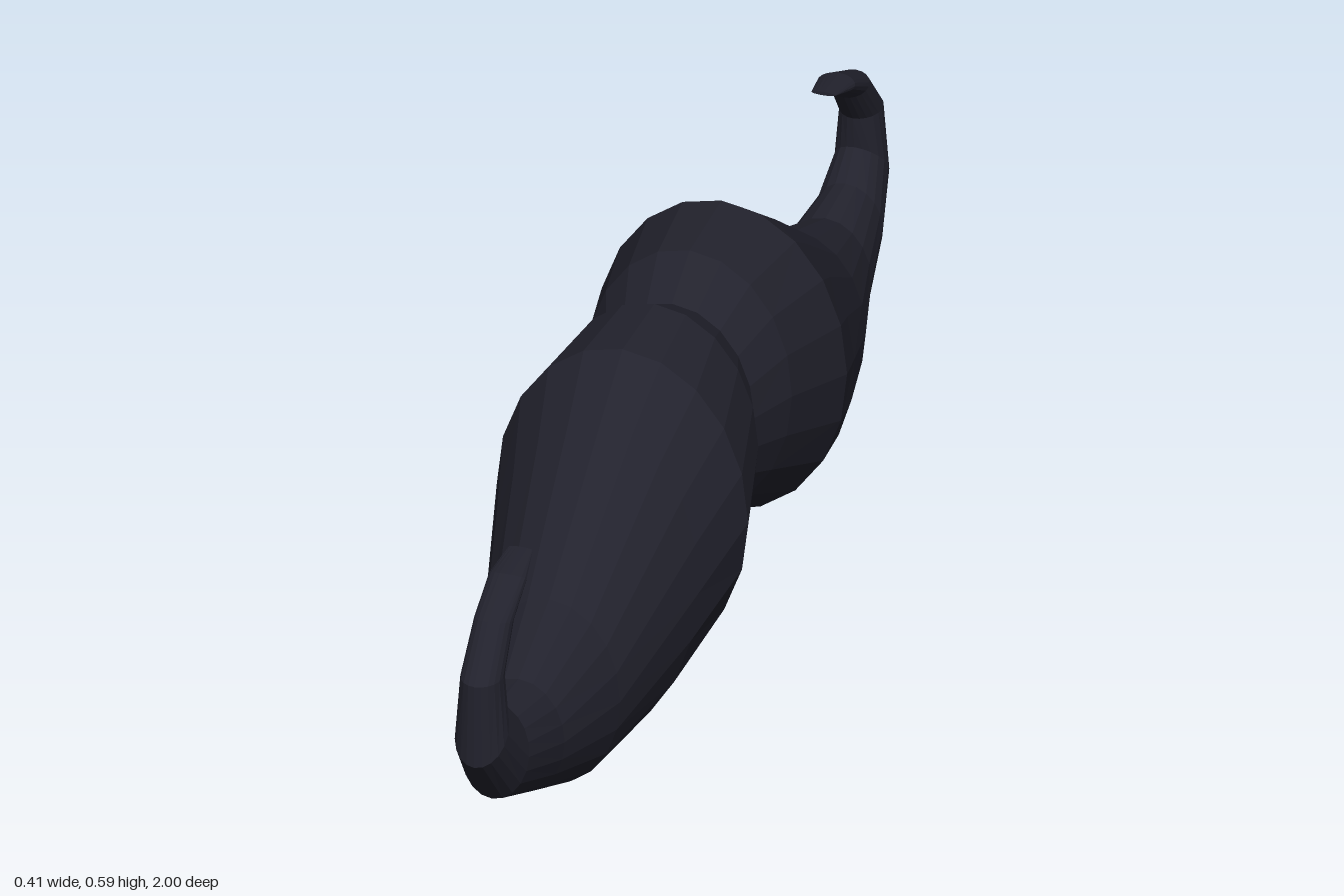
import * as THREE from 'three';

// cross-sections from the middle to the tip: top z, top y, bottom z, bottom y, half width
const SECTIONS = [
  [0, 0.54, 0, 0.175, 0.135],
  [0.09, 0.588, 0.08, 0.127, 0.17],
  [0.25, 0.592, 0.25, 0.04, 0.207],
  [0.36, 0.52, 0.43, 0.0, 0.172],
  [0.62, 0.34, 0.62, 0.012, 0.117],
  [0.775, 0.28, 0.775, 0.078, 0.076],
  [0.877, 0.288, 0.91, 0.137, 0.056],
  [0.92, 0.33, 1.0, 0.24, 0.043],
  [0.914, 0.385, 1.0, 0.385, 0.034],
  [0.868, 0.447, 0.93, 0.464, 0.031],
  [0.815, 0.482, 0.843, 0.505, 0.031],
  [0.765, 0.506, 0.765, 0.512, 0.02],
];
const SIDES = 20;

// Loft one half through elliptical rings; side is +1 or -1 along z
function halfGeometry(side) {
  const positions = [];
  const index = [];
  const face = (a, b, c) => (side > 0 ? index.push(a, b, c) : index.push(a, c, b));
  for (const [tz, ty, bz, by, w] of SECTIONS) {
    for (let i = 0; i < SIDES; i++) {
      const a = (i / SIDES) * Math.PI * 2;
      const t = (1 + Math.cos(a)) / 2;
      positions.push(w * Math.sin(a), by + (ty - by) * t, side * (bz + (tz - bz) * t));
    }
  }
  for (let k = 0; k < SECTIONS.length - 1; k++) {
    for (let i = 0; i < SIDES; i++) {
      const j = (i + 1) % SIDES;
      const a = k * SIDES + i, b = k * SIDES + j;
      face(a, a + SIDES, b);
      face(b, a + SIDES, b + SIDES);
    }
  }
  // close the tip
  const last = (SECTIONS.length - 1) * SIDES;
  for (let i = 1; i < SIDES - 1; i++) face(last, last + i + 1, last + i);
  const geometry = new THREE.BufferGeometry();
  geometry.setAttribute('position', new THREE.Float32BufferAttribute(positions, 3));
  geometry.setIndex(index);
  geometry.computeVertexNormals();
  return geometry;
}

export function createModel() {
  const group = new THREE.Group();
  group.name = 'moustache';
  const hair = new THREE.MeshStandardMaterial({ color: 0x22222d, flatShading: true });
  hair.name = 'dark hair';

  // two mirrored curls meeting in a sharp crease
  for (const side of [1, -1]) {
    const mesh = new THREE.Mesh(halfGeometry(side), hair);
    mesh.name = side > 0 ? 'frontCurl' : 'backCurl';
    group.add(mesh);
  }
  return group;
}
